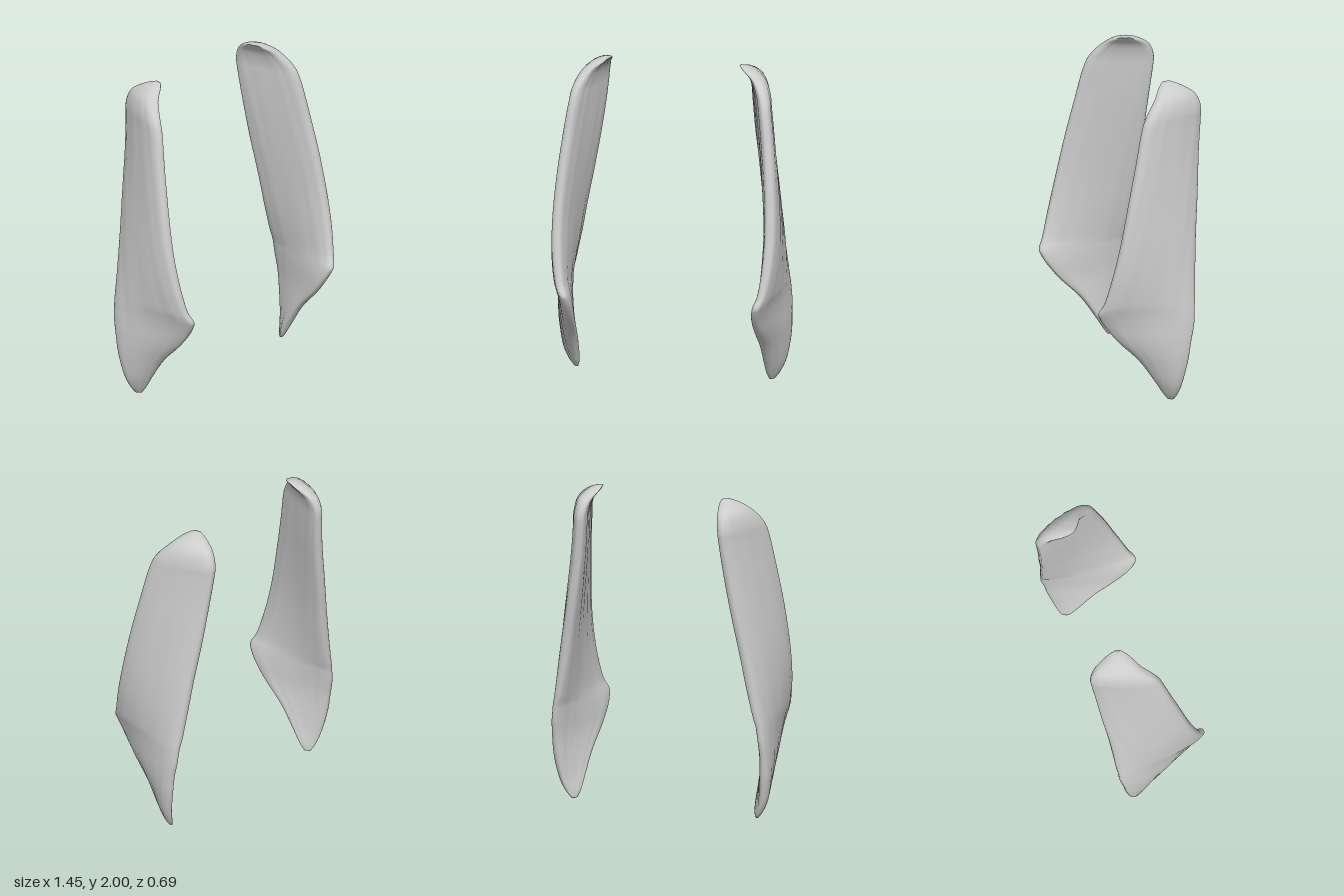
import * as THREE from 'three';

// Cross-sections from bottom to top:
// y, front edge z, front edge x, back edge z, back edge x, half thickness
const SECTIONS = [
  [0.005, -0.095, 0.6, -0.13, 0.622, 0.01],
  [0.05, -0.065, 0.59, -0.145, 0.652, 0.022],
  [0.13, -0.015, 0.588, -0.165, 0.682, 0.033],
  [0.27, 0.085, 0.588, -0.195, 0.7, 0.041],
  [0.4, 0.215, 0.582, -0.215, 0.702, 0.043],
  [0.5, 0.295, 0.58, -0.235, 0.696, 0.044],
  [0.565, 0.335, 0.588, -0.24, 0.688, 0.045],
  [0.605, 0.345, 0.6, -0.243, 0.682, 0.046],
  [0.67, 0.315, 0.627, -0.25, 0.665, 0.049],
  [0.84, 0.27, 0.655, -0.26, 0.628, 0.054],
  [1.05, 0.22, 0.665, -0.275, 0.588, 0.054],
  [1.3, 0.167, 0.654, -0.3, 0.54, 0.052],
  [1.55, 0.11, 0.63, -0.32, 0.497, 0.05],
  [1.75, 0.065, 0.604, -0.34, 0.472, 0.048],
  [1.84, 0.025, 0.585, -0.344, 0.464, 0.048],
  [1.92, -0.04, 0.54, -0.31, 0.45, 0.047],
  [1.97, -0.085, 0.478, -0.235, 0.428, 0.042],
  [1.993, -0.12, 0.43, -0.175, 0.414, 0.024],
];
const AROUND = 40, STEPS = 4;

const curve = (f) => new THREE.CatmullRomCurve3(
  SECTIONS.map((s) => new THREE.Vector3(...f(s))), false, 'catmullrom', 0.5);
const frontEdge = curve(([y, zf, xf]) => [xf, y, zf]);
const backEdge = curve(([y, , , zb, xb]) => [xb, y, zb]);
const thickness = curve((s) => [s[5], s[0], 0]);
const soft = (v, p) => Math.sign(v) * Math.abs(v) ** p;

// Twisted strap lofted through the sections; side is +1 (left) or -1 (right)
function strapGeometry(side) {
  const pos = [], idx = [];
  const rings = (SECTIONS.length - 1) * STEPS;
  for (let j = 0; j <= rings; j++) {
    const t = j / rings;
    const f = frontEdge.getPoint(t), b = backEdge.getPoint(t);
    const half = thickness.getPoint(t).x;
    const mid = f.clone().add(b).multiplyScalar(0.5);
    const along = f.clone().sub(b).multiplyScalar(0.5);
    const out = new THREE.Vector3(along.z, 0, -along.x).normalize();
    for (let i = 0; i < AROUND; i++) {
      const a = (i / AROUND) * Math.PI * 2;
      const u = soft(Math.cos(a), 0.8), v = soft(Math.sin(a), 0.65);
      // gentle outward bow and shallow lengthwise grooves
      const bow = half * 0.2 * (1 - u * u);
      const groove = 0.06 * half * Math.sin(u * 17 + f.y * 4) * Math.abs(Math.sin(a));
      const p = mid.clone().addScaledVector(along, u)
        .addScaledVector(out, v * (half + groove) + bow);
      pos.push(side * p.x, p.y, p.z);
    }
  }
  const tri = (a, b, c) => (side > 0 ? idx.push(a, b, c) : idx.push(a, c, b));
  for (let j = 0; j < rings; j++) {
    for (let i = 0; i < AROUND; i++) {
      const k = (i + 1) % AROUND, r = j * AROUND, s = r + AROUND;
      tri(r + i, r + k, s + i);
      tri(r + k, s + k, s + i);
    }
  }
  // rounded end caps
  const low = pos.length / 3, high = low + 1, last = rings * AROUND;
  pos.push(side * 0.611, 0, -0.113, side * 0.422, 2, -0.147);
  for (let i = 0; i < AROUND; i++) {
    const k = (i + 1) % AROUND;
    tri(low, k, i);
    tri(high, last + i, last + k);
  }
  const geo = new THREE.BufferGeometry();
  geo.setAttribute('position', new THREE.Float32BufferAttribute(pos, 3));
  geo.setIndex(idx);
  geo.computeVertexNormals();
  return geo;
}

export function createModel() {
  const group = new THREE.Group();
  group.name = 'strapPair';
  const grey = new THREE.MeshStandardMaterial({ color: 0xcccccc });
  grey.name = 'light grey';
  for (const [name, side] of [['leftStrap', 1], ['rightStrap', -1]]) {
    const mesh = new THREE.Mesh(strapGeometry(side), grey);
    mesh.name = name;
    group.add(mesh);
  }
  return group;
}
